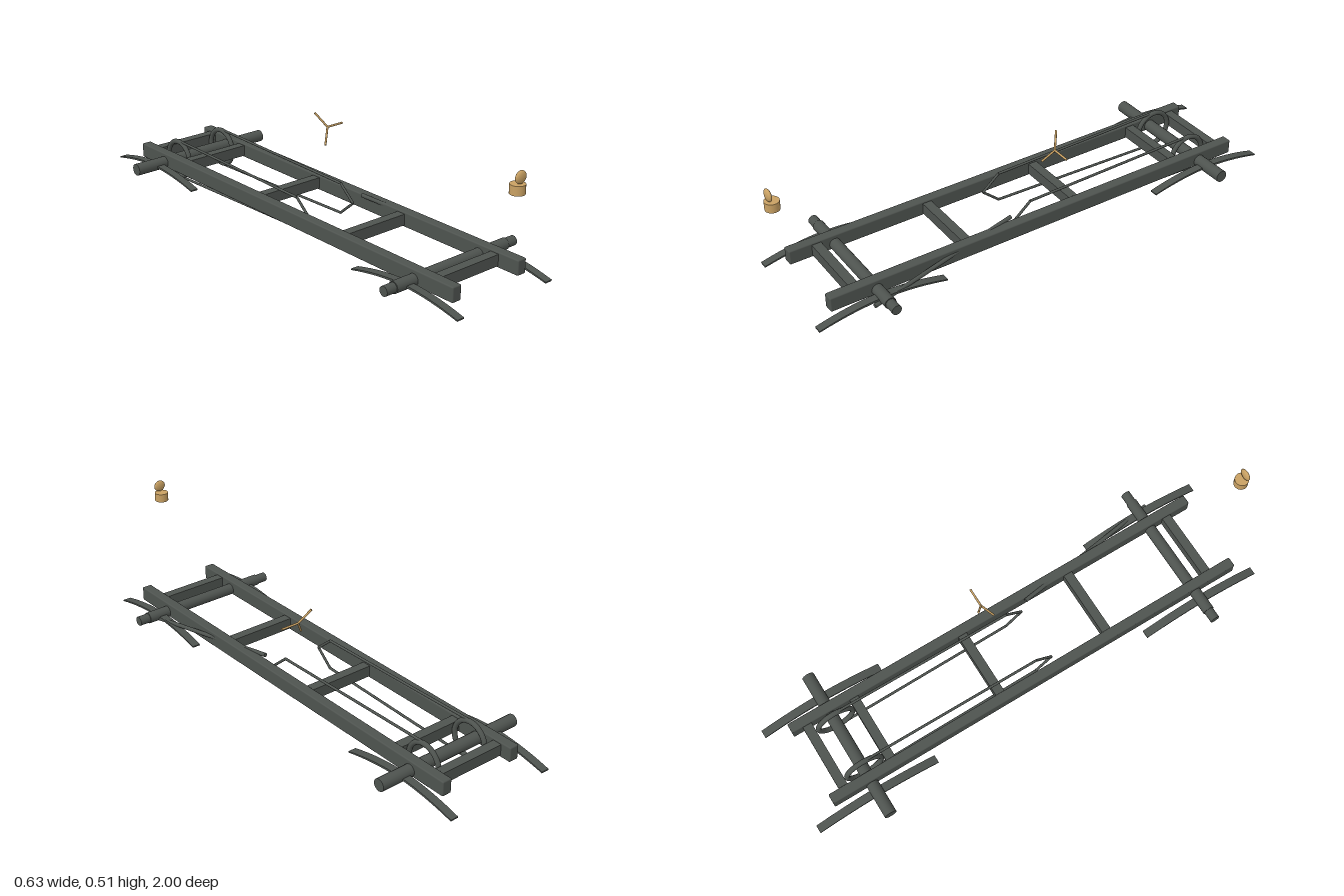
import * as THREE from 'three';
import { RoundedBoxGeometry } from 'three/addons/geometries/RoundedBoxGeometry.js';

const iron = new THREE.MeshStandardMaterial({ color: 0x4e534f });
iron.name = 'dark iron';
const brass = new THREE.MeshStandardMaterial({ color: 0xc9a163 });
brass.name = 'brass';

const V = (x, y, z) => new THREE.Vector3(x, y, z);

export function createModel() {
  const model = new THREE.Group();

  const add = (name, geometry, material, x = 0, y = 0, z = 0, parent = model) => {
    const mesh = new THREE.Mesh(geometry, material);
    mesh.name = name;
    mesh.position.set(x, y, z);
    parent.add(mesh);
    return mesh;
  };

  // Round bar between two points
  const bar = (name, a, b, r, material, parent = model) => {
    const d = b.clone().sub(a);
    const mesh = add(name, new THREE.CylinderGeometry(r, r, d.length(), 16), material, 0, 0, 0, parent);
    mesh.position.copy(a).add(b).multiplyScalar(0.5);
    mesh.quaternion.setFromUnitVectors(V(0, 1, 0), d.normalize());
    return mesh;
  };

  // Ladder frame
  for (const s of [-1, 1]) {
    add(s > 0 ? 'leftRail' : 'rightRail', new RoundedBoxGeometry(0.04, 0.058, 1.784, 2, 0.005),
      iron, s * 0.157, 0.094, -0.014);
  }
  for (const z of [-0.844, -0.643, -0.167, 0.31, 0.77]) {
    add('crossMember', new THREE.BoxGeometry(0.28, 0.044, 0.037), iron, 0, 0.094, z);
  }

  // Axles
  bar('rearAxle', V(-0.314, 0.086, -0.747), V(0.314, 0.086, -0.747), 0.024, iron);
  bar('frontAxle', V(-0.314, 0.086, 0.697), V(0.314, 0.086, 0.697), 0.019, iron);
  bar('frontAxleSleeve', V(-0.27, 0.086, 0.697), V(0.27, 0.086, 0.697), 0.0225, iron);

  // Arched leaf springs, profile in z and y, extruded across x
  const spring = new THREE.Shape();
  spring.moveTo(-0.253, 0.046);
  spring.quadraticCurveTo(-0.12, 0.078, 0, 0.079);
  spring.quadraticCurveTo(0.12, 0.078, 0.253, 0.046);
  spring.lineTo(0.253, 0.051);
  spring.quadraticCurveTo(0.12, 0.086, 0, 0.087);
  spring.quadraticCurveTo(-0.12, 0.086, -0.253, 0.051);
  const springGeometry = new THREE.ExtrudeGeometry(spring, { depth: 0.032, bevelEnabled: false, curveSegments: 8 });
  springGeometry.translate(0, 0, -0.016).rotateY(-Math.PI / 2);
  for (const x of [-0.213, 0.213]) {
    for (const z of [0.697, -0.747]) add('leafSpring', springGeometry, iron, x, 0, z);
  }

  // Drive sprockets and chains
  for (const x of [-0.108, 0.108]) {
    add('sprocketRing', new THREE.TorusGeometry(0.073, 0.01, 10, 40), iron, x, 0.086, -0.742)
      .rotation.y = Math.PI / 2;
    const points = [V(x, 0.028, 0.01), V(x, 0.088, 0.08), V(x, 0.148, 0.01)];
    for (let i = 0; i <= 12; i++) {
      const a = Math.PI / 2 + (i / 12) * Math.PI;
      points.push(V(x, 0.086 + 0.077 * Math.sin(a), -0.742 + 0.077 * Math.cos(a)));
    }
    const path = new THREE.CurvePath();
    points.forEach((p, i) => path.add(new THREE.LineCurve3(p, points[(i + 1) % points.length])));
    const chain = new THREE.Group();
    chain.name = 'driveChain';
    path.curves.forEach((c) => bar('chainRun', c.v1, c.v2, 0.005, iron, chain));
    model.add(chain);
  }

  // Steering linkage
  bar('steeringRod', V(0.126, 0.126, 0.11), V(0.235, 0.07, 0.74), 0.008, iron);

  // Steering wheel spokes, tilted back
  const spokes = new THREE.Group();
  spokes.name = 'steeringSpokes';
  spokes.position.set(0.124, 0.345, -0.086);
  spokes.rotation.x = -0.5;
  for (let i = 0; i < 3; i++) {
    const a = (i * Math.PI * 2) / 3;
    bar('spoke', V(0, 0, 0), V(0.074 * Math.cos(a), 0.074 * Math.sin(a), 0), 0.004, brass, spokes);
  }
  model.add(spokes);

  // Lamp base with flattened lens
  add('lampBase', new THREE.CylinderGeometry(0.027, 0.027, 0.034, 24), brass, 0, 0.45, 0.973);
  add('lampLens', new THREE.SphereGeometry(0.025, 24, 16), brass, 0, 0.492, 0.984)
    .scale.set(1, 0.92, 0.4);

  return model;
}
